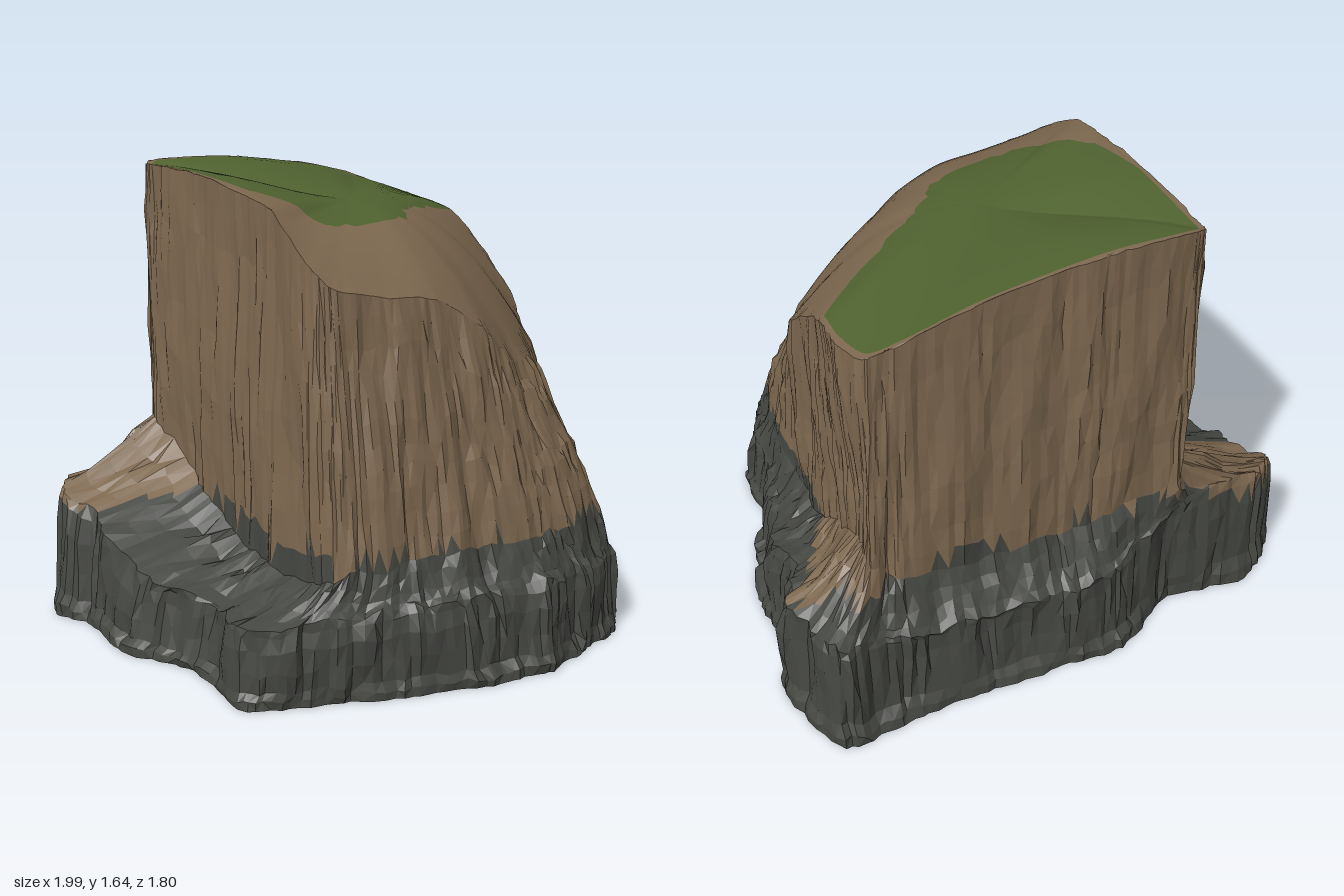
import * as THREE from 'three';

// Four outlines [x, y, z] that run round the rock from its back corner, station by station
const LIP = [
  [-.49, 1.65, -.62], [-.49, 1.65, -.68], [-.44, 1.66, -.70], [-.20, 1.66, -.70], [0, 1.64, -.70], [.30, 1.59, -.70],
  [.55, 1.51, -.69], [.66, 1.47, -.66], [.695, 1.44, -.50], [.695, 1.42, -.36], [.695, 1.33, -.20], [.69, 1.18, 0],
  [.65, 1.04, .16], [.56, 1.02, .31], [.44, 1.02, .43], [.30, 1.03, .54], [.14, 1.17, .57], [-.05, 1.29, .56],
  [-.25, 1.32, .56], [-.44, 1.36, .55], [-.49, 1.43, .47], [-.49, 1.58, .22], [-.49, 1.62, 0], [-.49, 1.65, -.30]];
const FOOT = [
  [-.51, .68, -.60], [-.51, .69, -.66], [-.46, .62, -.70], [-.20, .57, -.71], [0, .54, -.71], [.30, .53, -.71],
  [.57, .55, -.71], [.69, .66, -.69], [.69, .68, -.58], [.69, .56, -.38], [.69, .44, -.18], [.69, .40, .05],
  [.69, .40, .28], [.68, .43, .50], [.60, .46, .66], [.40, .46, .72], [.20, .46, .745], [-.03, .46, .73],
  [-.25, .45, .70], [-.45, .43, .64], [-.51, .37, .52], [-.51, .36, .20], [-.51, .38, -.02], [-.51, .52, -.30]];
const SHELF = [
  [-.92, .48, -.58], [-.82, .50, -.67], [-.48, .48, -.71], [-.22, .40, -.80], [0, .37, -.82], [.30, .37, -.82],
  [.60, .39, -.83], [.86, .45, -.82], [.94, .45, -.58], [.87, .40, -.40], [.86, .33, -.15], [.80, .27, .08],
  [.74, .26, .30], [.73, .28, .55], [.64, .32, .69], [.42, .33, .77], [.22, .33, .815], [-.03, .33, .79],
  [-.27, .32, .75], [-.55, .31, .66], [-.77, .28, .54], [-.75, .27, .22], [-.87, .29, -.02], [-.88, .39, -.35]];
const GROUND = [
  [-.99, .02, -.56], [-.82, .02, -.72], [-.48, .02, -.71], [-.25, .02, -.83], [0, .02, -.86], [.30, .02, -.85],
  [.60, .02, -.87], [.86, .02, -.88], [.99, .02, -.56], [.92, .02, -.40], [.95, .02, -.15], [.88, .02, .10],
  [.79, .02, .30], [.78, .02, .58], [.64, .02, .73], [.45, .02, .81], [.22, .02, .88], [0, .02, .85],
  [-.27, .02, .80], [-.57, .02, .68], [-.82, .02, .57], [-.80, .02, .20], [-.94, .02, -.05], [-.94, .02, -.35]];
// How far in from the lip the grass starts at each station
const GRASS = [0, 0, 0, 0, 0, 0, 0, 0, 0, .02, .42, .62, .67, .71, .69, .67, .62, .57, .52, .5, .45, .3, .1, .02];

const N = 24 * 10;
const lerp = THREE.MathUtils.lerp;

function hash(a, b, s) {
  const h = Math.sin(a * 127.1 + b * 311.7 + s * 74.7) * 43758.5453;
  return h - Math.floor(h);
}

// Value noise in -0.5..0.5, periodic in u
function noise(u, v, period, seed) {
  const i = Math.floor(u), j = Math.floor(v), f = u - i, g = v - j;
  const at = (a, b) => hash(a % period, b, seed);
  return lerp(lerp(at(i, j), at(i + 1, j), f), lerp(at(i, j + 1), at(i + 1, j + 1), f), g) - .5;
}

// Smooth closed ring through an outline, N samples
function ring(points) {
  const curve = new THREE.CatmullRomCurve3(points.map(p => new THREE.Vector3(...p)), true, 'catmullrom', .4);
  return Array.from({ length: N }, (_, i) => curve.getPoint(i / N));
}

// Blend two rings with separate amounts in plan and in height
function blend(a, b, plan, height) {
  return a.map((p, i) => new THREE.Vector3(
    lerp(p.x, b[i].x, plan), lerp(p.y, b[i].y, height), lerp(p.z, b[i].z, plan)));
}

// Push a ring in and out in upright crags
function crag(points, row, amount, lift) {
  return points.map((p, i) => {
    const before = points[(i + N - 1) % N], after = points[(i + 1) % N];
    const t = new THREE.Vector3(after.x - before.x, 0, after.z - before.z).normalize();
    const push = amount * (noise(i / 4, row * .2, N / 4, 1) + .5 * noise(i, row * .4, N, 2)
      + .4 * noise(i / 3, row * .7, N / 3, 6));
    const slide = amount * .35 * noise(i, row * .6, N, 3);
    return new THREE.Vector3(p.x + t.z * push + t.x * slide,
      p.y + lift * noise(i / 2, row * .8, N / 2, 4), p.z - t.x * push + t.z * slide);
  });
}

// Visit the two outward triangles of every cell between successive rings
function eachTriangle(rows, visit) {
  for (let r = 0; r < rows.length - 1; r++) {
    for (let i = 0; i < N; i++) {
      const j = (i + 1) % N;
      if ((i + r) % 2) {
        visit([r, i], [r + 1, i], [r + 1, j]);
        visit([r, i], [r + 1, j], [r, j]);
      } else {
        visit([r, i], [r + 1, i], [r, j]);
        visit([r, j], [r + 1, i], [r + 1, j]);
      }
    }
  }
}

function facetedMesh(name, positions, material) {
  const geometry = new THREE.BufferGeometry();
  geometry.setAttribute('position', new THREE.Float32BufferAttribute(positions, 3));
  geometry.computeVertexNormals();
  const mesh = new THREE.Mesh(geometry, material);
  mesh.name = name;
  return mesh;
}

export function createModel() {
  const stone = new THREE.MeshStandardMaterial({ color: 0x464843 });
  stone.name = 'dark grey stone';
  const soil = new THREE.MeshStandardMaterial({ color: 0x7e6950 });
  soil.name = 'brown earth';
  const grass = new THREE.MeshStandardMaterial({ color: 0x506330 });
  grass.name = 'grass green';

  const model = new THREE.Group();
  model.name = 'rockyCliff';
  const ground = ring(GROUND), shelf = ring(SHELF), foot = ring(FOOT), lip = ring(LIP);

  // Underside, then the steep base, the shelf and the tall wall
  const rows = [ground.map(() => new THREE.Vector3(0, .02, 0))];
  const add = (points, amount, lift) => rows.push(crag(points, rows.length, amount, lift));
  add(ground, .035, 0);
  for (const [plan, height] of [[.05, .1], [.4, .2], [.5, .45], [.65, .72], [.85, .92]])
    add(blend(ground, shelf, plan, height), .055, .03);
  add(shelf, .05, .05);
  for (const t of [.25, .5, .75]) add(blend(shelf, foot, t, t ** 1.5), .035, .05);
  add(foot, .03, .04);
  const wallRows = 11;
  for (let k = 1; k < wallRows; k++) {
    const t = k / wallRows;
    add(blend(foot, lip, t ** 1.15, t), lerp(.04, .025, t), .05);
  }
  add(lip, .015, .01);

  const stoneFaces = [], soilFaces = [];
  eachTriangle(rows, (...corners) => {
    const points = corners.map(([r, i]) => rows[r][i]);
    const y = (points[0].y + points[1].y + points[2].y) / 3;
    const z = points[0].z;
    // The earth starts higher on the back face
    const edge = .465 + (z < -.685 ? .1 : 0) + .1 * noise(corners[0][1] / 4, 0, N / 4, 5);
    const faces = y > edge ? soilFaces : stoneFaces;
    for (const p of points) faces.push(p.x, p.y, p.z);
  });
  model.add(facetedMesh('stoneBase', stoneFaces, stone));
  model.add(facetedMesh('cliffWall', soilFaces, soil));

  // Smooth domed top: a ragged rim, a bare slope, then grass up to the middle
  const rim = rows[rows.length - 1];
  const middle = new THREE.Vector3(.05, 1.545, -.1);
  const slopeRows = 8, grassRows = 8;
  const cap = [rim];
  for (let r = 1; r <= slopeRows + grassRows; r++) {
    cap.push(lip.map((p, i) => {
      const s = i / N * GRASS.length, a = Math.floor(s);
      const start = Math.max(.03, lerp(GRASS[a], GRASS[(a + 1) % GRASS.length], s - a)
        + (GRASS[a] > .1 ? .06 * noise(i / 5, 0, N / 5, 8) : 0));
      const t = r <= slopeRows ? start * r / slopeRows : lerp(start, 1, (r - slopeRows) / grassRows);
      // Steep fall towards the low front corner, gentle elsewhere
      const rise = p.y < middle.y ? 1 - (1 - t) ** 2.2 : t * t * (3 - 2 * t);
      return new THREE.Vector3(lerp(p.x, middle.x, t), lerp(p.y, middle.y, rise), lerp(p.z, middle.z, t));
    }));
  }
  const index = [];
  eachTriangle(cap, (...corners) => corners.forEach(([r, i]) => index.push(r * N + i)));
  const top = new THREE.BufferGeometry().setFromPoints(cap.flat());
  top.setIndex(index);
  top.computeVertexNormals();
  top.addGroup(0, slopeRows * N * 6, 0);
  top.addGroup(slopeRows * N * 6, grassRows * N * 6, 1);
  const plateau = new THREE.Mesh(top, [soil, grass]);
  plateau.name = 'grassyTop';
  model.add(plateau);

  return model;
}
